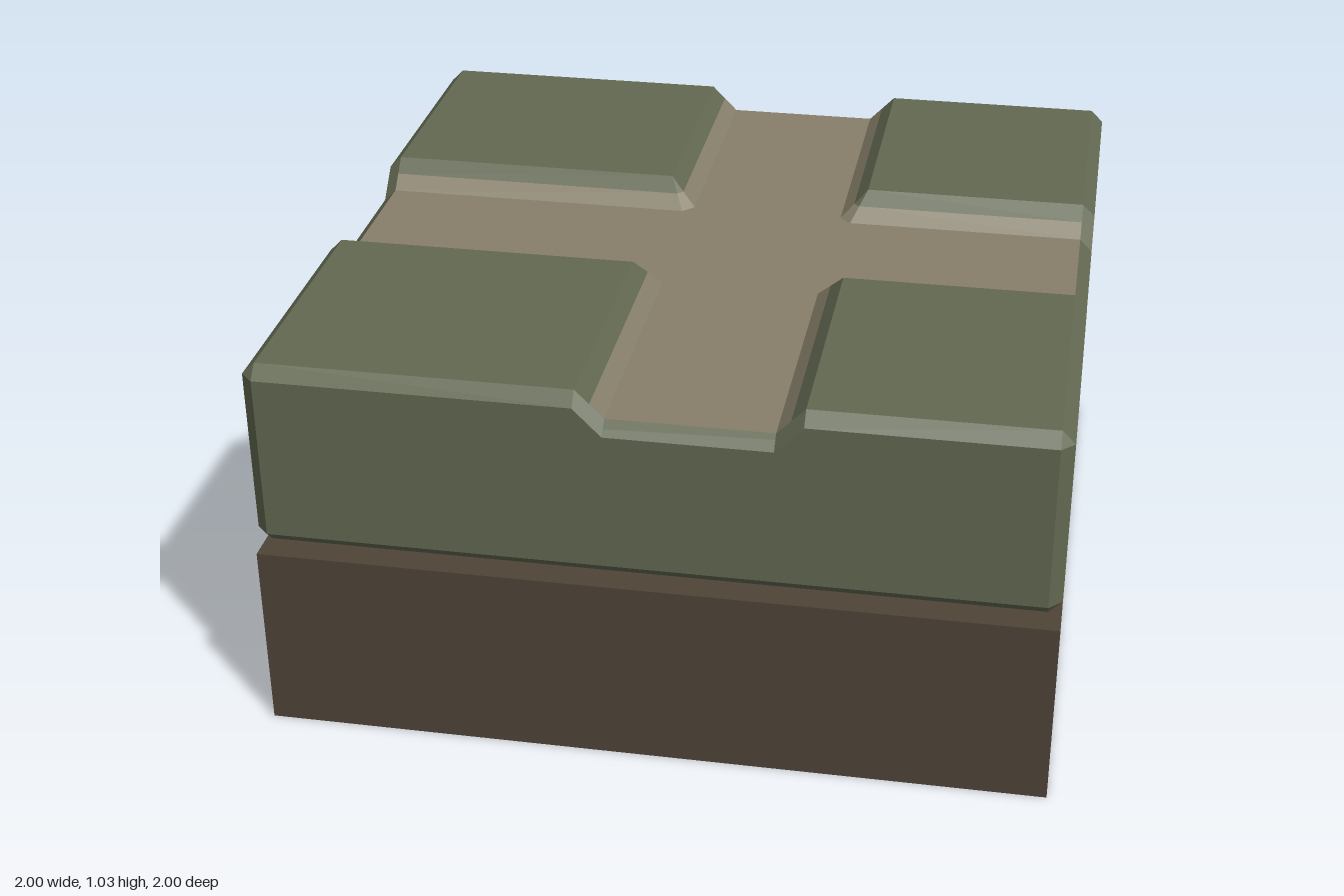
import * as THREE from 'three';

const material = (color) => new THREE.MeshStandardMaterial({ color, flatShading: true });
const green = material(0x626851);
const tan = material(0x877f6a);
const brown = material(0x4e4437);

// Block levels: bevel inset, block bottom, channel floor and top surface
const C = 0.033, K = 1 - C, BOTTOM = 0.53, FLOOR = 0.958, TOP = 1.03;

// Flat-shaded mesh from polygons, each a list of [x, y, z] corners
function polygonMesh(name, polygons, mat, flip = false) {
  const pos = [];
  for (const p of polygons) {
    for (let i = 1; i < p.length - 1; i++) {
      const tri = flip ? [p[0], p[i + 1], p[i]] : [p[0], p[i], p[i + 1]];
      pos.push(...tri.flat());
    }
  }
  const geo = new THREE.BufferGeometry();
  geo.setAttribute('position', new THREE.Float32BufferAttribute(pos, 3));
  geo.computeVertexNormals();
  const mesh = new THREE.Mesh(geo, mat);
  mesh.name = name;
  return mesh;
}

// Quads joining two closed rings of equal length
const band = (a, b) => a.map((p, i) => {
  const j = (i + 1) % a.length;
  return [p, a[j], b[j], b[i]];
});

// Block below the channels, with all its outer edges bevelled
function createBody() {
  const outer = [[-K, 1], [K, 1], [1, K], [1, -K], [K, -1], [-K, -1], [-1, -K], [-1, K]];
  const ring = (y, inset) => outer.map(([x, z]) => inset
    ? [Math.sign(x) * K, y, Math.sign(z) * K] : [x, y, z]);
  const rings = [ring(BOTTOM, true), ring(BOTTOM + C, false), ring(FLOOR - C, false), ring(FLOOR, true)];
  const sides = [0, 1, 2].flatMap((i) => band(rings[i], rings[i + 1]));
  const group = new THREE.Group();
  group.name = 'blockBody';
  group.add(polygonMesh('bodySides', [...sides, [...rings[0]].reverse()], green));
  group.add(polygonMesh('pathFloor', [rings[3]], tan));
  return group;
}

// Raised corner plateau: f = foot of its slope, t = top of its slope
function createPlateau(sx, sz, [fx, tx], [fz, tz]) {
  const d = 0.03;
  const place = (pts) => pts.map(([x, y, z]) => [sx * x, y, sz * z]);
  const foot = place([
    [fx, FLOOR - C, 1], [K, FLOOR - C, 1], [1, FLOOR - C, K], [1, FLOOR - C, fz],
    [K, FLOOR, fz], [fx + d, FLOOR, fz], [fx, FLOOR, fz + d], [fx, FLOOR, K]]);
  const rim = place([
    [tx, TOP - C, 1], [K, TOP - C, 1], [1, TOP - C, K], [1, TOP - C, tz],
    [K, TOP, tz], [tx, TOP, tz], [tx, TOP, tz], [tx, TOP, K]]);
  const top = place([
    [tx, TOP, K], [K, TOP, K], [K, TOP, K], [K, TOP, tz],
    [K, TOP, tz], [tx, TOP, tz], [tx, TOP, tz], [tx, TOP, K]]);
  const middle = foot.map((p, i) => p.map((v, k) => (v + rim[i][k]) / 2));

  // The lower half of the slopes facing the channels has the path colour
  const lower = band(foot, middle);
  const isSlope = (_, i) => i >= 4 && i <= 6;
  const flip = sx * sz < 0;
  const group = new THREE.Group();
  group.name = 'cornerPlateau';
  group.add(polygonMesh('slopeFoot', lower.filter(isSlope), tan, flip));
  group.add(polygonMesh('plateauSurface', [
    ...lower.filter((q, i) => !isSlope(q, i)),
    ...band(middle, rim), ...band(rim, top),
    [top[0], top[1], top[3], top[5]]], green, flip));
  return group;
}

export function createModel() {
  const model = new THREE.Group();
  model.name = 'crossroadsTile';

  // Separate slab beneath the floating upper block
  const base = new THREE.Mesh(new THREE.BoxGeometry(2, 0.5, 2), brown);
  base.name = 'baseSlab';
  base.position.y = 0.25;
  model.add(base, createBody());

  // Four plateaus around the off-centre crossing
  const xSlopes = { '1': [0.305, 0.375], '-1': [0.107, 0.178] };
  const zSlopes = { '1': [0.2, 0.27], '-1': [0.215, 0.287] };
  for (const sx of [-1, 1]) {
    for (const sz of [-1, 1]) model.add(createPlateau(sx, sz, xSlopes[sx], zSlopes[sz]));
  }
  return model;
}
